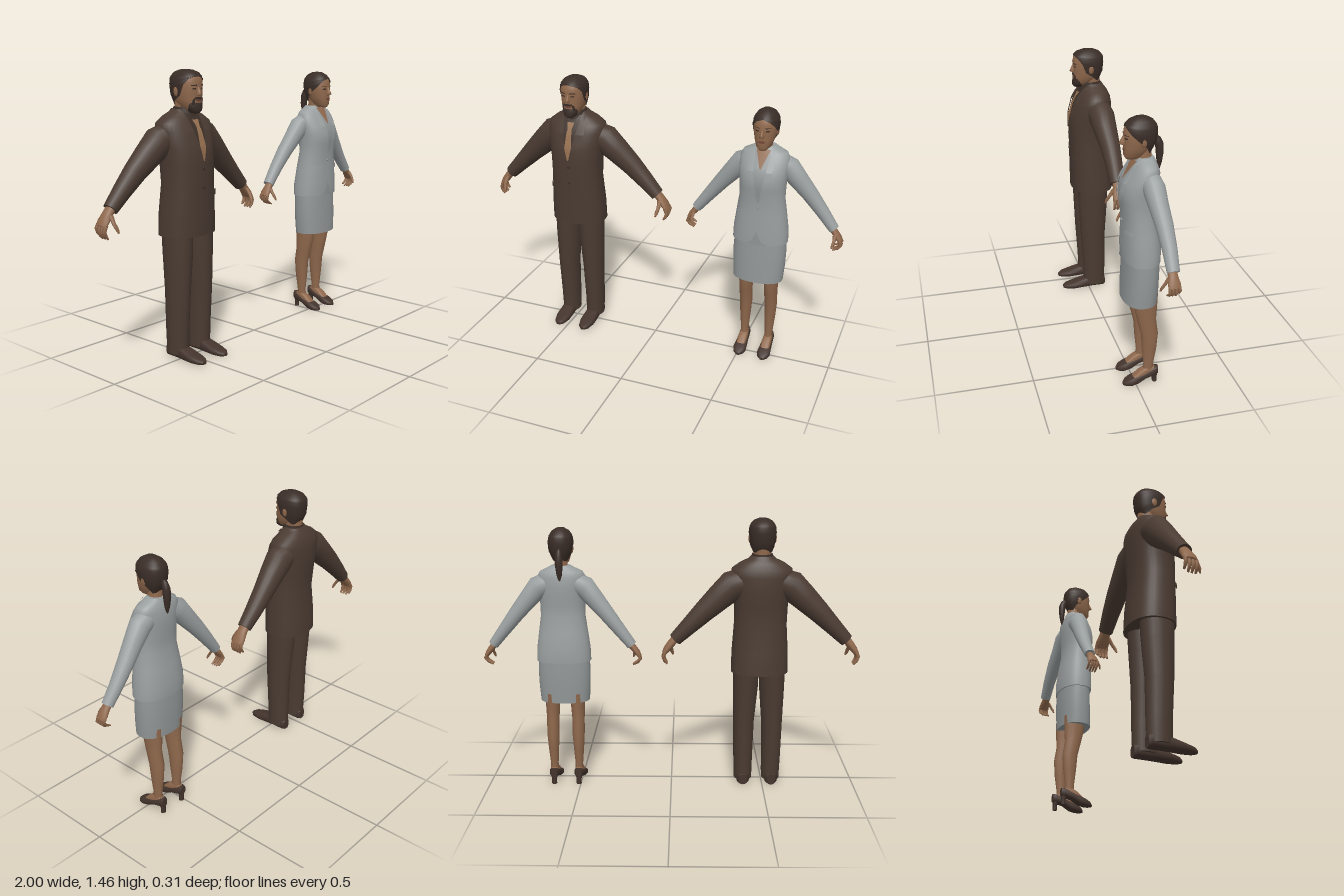
import * as THREE from 'three';

const mat = (name, color, side = THREE.FrontSide) => {
  const m = new THREE.MeshStandardMaterial({ color, side });
  m.name = name;
  return m;
};
const V = (x, y, z) => new THREE.Vector3(x, y, z);
const spow = (v, e) => Math.sign(v) * Math.abs(v) ** e;

// Surface through a list of rings, optionally closed around and capped at both ends
function skinRings(rings, closed = true) {
  const n = rings[0].length, pos = [], idx = [];
  const push = p => (pos.push(p.x, p.y, p.z), pos.length / 3 - 1);
  rings.forEach(r => r.forEach(push));
  for (let j = 0; j < rings.length - 1; j++) {
    for (let i = 0; i < (closed ? n : n - 1); i++) {
      const k = (i + 1) % n, a = j * n + i, b = j * n + k;
      idx.push(a, b, b + n, a, b + n, a + n);
    }
  }
  if (closed) {
    [rings[0], rings[rings.length - 1]].forEach((r, e) => {
      const c = push(r.reduce((s, p) => s.add(p), V(0, 0, 0)).divideScalar(n));
      const ids = r.map(push);
      ids.forEach((a, i) => {
        const b = ids[(i + 1) % n];
        if (e) idx.push(c, a, b); else idx.push(c, b, a);
      });
    });
  }
  // Turn the faces outward when the rings run the other way
  const at = i => V(pos[3 * i], pos[3 * i + 1], pos[3 * i + 2]);
  const mid = rings.flat().reduce((s, p) => s.add(p), V(0, 0, 0)).divideScalar(rings.length * n);
  let vol = 0;
  for (let t = 0; t < idx.length; t += 3) {
    const [a, b, c] = [0, 1, 2].map(k => at(idx[t + k]).sub(mid));
    vol += a.dot(b.cross(c));
  }
  if (vol < 0) idx.reverse();
  const g = new THREE.BufferGeometry();
  g.setAttribute('position', new THREE.Float32BufferAttribute(pos, 3));
  g.setIndex(idx);
  g.computeVertexNormals();
  return g;
}

// Horizontal slices [y, halfWidth, zFront, zBack, (front opening angle)]
const sliceRing = ([y, a, zf, zb, open = 0], p, n, closed) => Array.from({ length: n }, (_, i) => {
  const t = closed ? i / n * Math.PI * 2 : open + i / (n - 1) * (Math.PI - open) * 2;
  return V(a * spow(Math.sin(t), 2 / p), y, (zf + zb) / 2 + (zf - zb) / 2 * spow(Math.cos(t), 2 / p));
});
const stack = (slices, p = 2.3, closed = true) =>
  skinRings(slices.map(s => sliceRing(s, p, closed ? 36 : 33, closed)), closed);

// Limb along [x, y, z, in-plane radius, z radius]
function limb(path, n = 16) {
  return skinRings(path.map(([x, y, z, a, b], i) => {
    const q = path[Math.max(i - 1, 0)], r = path[Math.min(i + 1, path.length - 1)];
    const d = new THREE.Vector2(r[0] - q[0], r[1] - q[1]).normalize();
    return Array.from({ length: n }, (_, k) => {
      const t = k / n * Math.PI * 2, c = a * Math.cos(t);
      return V(x - d.y * c, y + d.x * c, z + b * Math.sin(t));
    });
  }));
}

// Shoe from sections [z, halfWidth, yLow, yHigh]
const shoeGeo = (x, secs) => skinRings(secs.map(([z, w, lo, hi]) => Array.from({ length: 16 }, (_, k) => {
  const t = k / 16 * Math.PI * 2;
  return V(x + w * spow(Math.cos(t), 0.7), (lo + hi) / 2 + (hi - lo) / 2 * spow(Math.sin(t), 0.7), z);
})));

// Thin patch on the front of a slice stack, from rows [y, xLeft, xRight], y rising
function patch(slices, rows, lift = 0.004, p = 2.3) {
  const front = (x, y) => {
    let i = 0;
    while (i < slices.length - 2 && slices[i + 1][0] < y) i++;
    const [s, e] = [slices[i], slices[i + 1]], t = (y - s[0]) / (e[0] - s[0]);
    const [, a, zf, zb] = s.map((v, k) => v + (e[k] - v) * t);
    return (zf + zb) / 2 + (zf - zb) / 2 * Math.max(0, 1 - Math.abs(x / a) ** p) ** (1 / p);
  };
  const steps = 6, U = 8, rings = [];
  for (let r = 0; r < (rows.length - 1) * steps + 1; r++) {
    const i = Math.min(Math.floor(r / steps), rows.length - 2), t = r / steps - i;
    const [y, x0, x1] = rows[i].map((v, k) => v + (rows[i + 1][k] - v) * t);
    rings.push(Array.from({ length: U + 1 }, (_, k) => {
      const x = x0 + (x1 - x0) * k / U;
      return V(x, y, front(x, y) + lift);
    }));
  }
  const g = new THREE.PlaneGeometry(1, 1, U, rings.length - 1);
  rings.reverse().flat().forEach((v, i) => g.attributes.position.setXYZ(i, v.x, v.y, v.z));
  g.computeVertexNormals();
  return g;
}
const mirrorRows = (rows, s) => s > 0 ? rows : rows.map(([y, a, b]) => [y, -b, -a]);

export function createModel() {
  const suit = mat('brown suit', 0x4a3b32), shirt = mat('dark shirt', 0x3d3029);
  const skin = mat('skin', 0x8f684c), tie = mat('tan tie', 0x96704f);
  const hair = mat('dark hair', 0x3a2d27, THREE.DoubleSide), leather = mat('shoe leather', 0x44342d);
  const grey = mat('grey jacket', 0x9a9f9f), skirtMat = mat('grey skirt', 0x929797), lips = mat('lips', 0x75493a);
  const root = new THREE.Group();
  const figure = (name, x) => {
    const g = new THREE.Group();
    g.name = name;
    g.position.x = x;
    root.add(g);
    return (part, geo, m) => {
      const mesh = new THREE.Mesh(geo, m);
      mesh.name = part;
      g.add(mesh);
      return mesh;
    };
  };
  const ball = (add, name, m, p, s) => {
    const b = add(name, new THREE.SphereGeometry(1, 14, 10), m);
    b.position.set(...p);
    b.scale.set(...s);
  };
  // Palm, four curled fingers and a forward thumb, starting at the wrist
  const hand = (add, s, [wx, wy, wz], k, curl) => {
    const at = (dx, dy, dz, a, b) => [s * (wx + dx * k), wy + dy * k, wz + dz * k, a * k, b * k];
    add('hand', limb([at(-0.02, 0.025, 0, 0.024, 0.028), at(0.015, -0.015, 0, 0.022, 0.032),
      at(0.038, -0.045, 0, 0.02, 0.04), at(0.055, -0.07, 0, 0.013, 0.038)]), skin);
    for (let f = 0; f < 4; f++) {
      const z = -0.03 + f * 0.02, d = f === 0 ? 0.012 : 0;
      add('finger', limb([at(0.047, -0.06, z, 0.011, 0.01), at(0.06, -0.092 + d, z, 0.01, 0.01),
        at(0.06 - curl * 0.4, -0.115 + d, z, 0.009, 0.009), at(0.058 - curl, -0.132 + d, z, 0.005, 0.006)], 8), skin);
    }
    add('thumb', limb([at(0.015, -0.015, 0.025, 0.014, 0.014), at(0.018, -0.05, 0.05, 0.011, 0.011),
      at(0.012, -0.08, 0.068, 0.01, 0.009), at(0.006, -0.1, 0.074, 0.005, 0.005)], 8), skin);
  };
  // Eyes, brows, mouth, nose and ears on a head
  const face = (add, head, y, k, earZ) => {
    for (const s of [1, -1]) {
      add('eye', patch(head, mirrorRows([[y - 0.004, 0.02, 0.032], [y, 0.014, 0.037], [y + 0.004, 0.02, 0.032]], s), 0.002), shirt);
      add('brow', patch(head, mirrorRows([[y + 0.014, 0.012, 0.042], [y + 0.019 * k, 0.013, 0.04]], s), 0.003), hair);
      ball(add, 'ear', skin, [s * 0.064 * k, y - 0.012, earZ], [0.008, 0.026, 0.016]);
    }
    add('nose', stack([[y - 0.036, 0.009, 0.062, 0.04], [y - 0.029, 0.014, 0.08, 0.04],
      [y - 0.015, 0.009, 0.073, 0.04], [y + 0.008, 0.006, 0.061, 0.04]], 2), skin);
    add('mouth', patch(head, [[y - 0.062, -0.01, 0.01], [y - 0.056, -0.021, 0.021], [y - 0.05, -0.01, 0.01]], 0.003), lips);
  };

  // ---- Man ----
  const man = figure('man', -0.472);
  const coat = [[0.64, 0.152, 0.08, -0.157], [0.75, 0.15, 0.082, -0.152], [0.9, 0.14, 0.084, -0.136],
    [1, 0.142, 0.085, -0.144], [1.08, 0.15, 0.08, -0.15], [1.16, 0.162, 0.056, -0.15], [1.2, 0.158, 0.034, -0.142],
    [1.23, 0.118, 0.014, -0.127], [1.25, 0.075, 0.004, -0.112], [1.265, 0.06, -0.002, -0.102]];
  man('jacketBody', stack(coat), suit);
  man('shirtFront', patch(coat, [[1.01, -0.002, 0.002], [1.12, -0.028, 0.028], [1.25, -0.05, 0.05]]), shirt);
  man('tie', patch(coat, [[1.015, -0.003, 0.003], [1.07, -0.021, 0.021], [1.17, -0.014, 0.014], [1.18, -0.011, 0.011],
    [1.215, -0.02, 0.02]], 0.008), tie);
  man('shirtCollar', stack([[1.22, 0.062, 0.022, -0.1], [1.275, 0.054, 0.012, -0.096]], 2), shirt);
  man('neck', stack([[1.2, 0.046, 0.005, -0.09], [1.32, 0.046, 0.01, -0.095]], 2), skin);
  for (const s of [1, -1]) {
    man('lapel', patch(coat, mirrorRows([[1.01, 0.002, 0.006], [1.13, 0.03, 0.083], [1.145, 0.033, 0.07],
      [1.16, 0.037, 0.085], [1.25, 0.05, 0.07]], s), 0.009), suit);
    man('pocketFlap', patch(coat, mirrorRows([[0.835, 0.065, 0.125], [0.865, 0.065, 0.13]], s), 0.009), suit);
    man('sleeve', limb([[s * 0.09, 1.135, -0.06, 0.07, 0.07], [s * 0.155, 1.11, -0.066, 0.08, 0.072],
      [s * 0.22, 1.05, -0.072, 0.07, 0.064], [s * 0.3, 0.975, -0.08, 0.058, 0.054],
      [s * 0.38, 0.895, -0.082, 0.046, 0.046], [s * 0.452, 0.822, -0.08, 0.036, 0.038]], 20), suit);
    hand(man, s, [0.458, 0.815, -0.08], 0.95, 0.02);
    man('trouserLeg', limb([[s * 0.07, 0.7, -0.035, 0.07, 0.09], [s * 0.071, 0.55, -0.032, 0.068, 0.085],
      [s * 0.077, 0.35, -0.03, 0.057, 0.073], [s * 0.077, 0.15, -0.036, 0.052, 0.066],
      [s * 0.076, 0.025, -0.036, 0.049, 0.063]], 20), suit);
    man('shoe', shoeGeo(s * 0.077, [[-0.1, 0.022, 0, 0.06], [-0.085, 0.035, 0, 0.07], [-0.02, 0.036, 0, 0.075],
      [0.03, 0.04, 0, 0.058], [0.09, 0.042, 0, 0.04], [0.135, 0.03, 0, 0.03], [0.155, 0.012, 0.004, 0.02]]), leather);
  }
  for (const y of [0.975, 0.885]) {
    const b = man('button', new THREE.CylinderGeometry(0.008, 0.008, 0.008, 12), shirt);
    b.position.set(0, y, 0.087);
    b.rotation.x = Math.PI / 2;
  }
  const manHead = [[1.255, 0.024, 0.045, -0.02], [1.275, 0.045, 0.056, -0.05], [1.31, 0.058, 0.058, -0.088],
    [1.35, 0.064, 0.058, -0.104], [1.39, 0.066, 0.06, -0.107], [1.42, 0.06, 0.053, -0.1], [1.44, 0.044, 0.032, -0.08], [1.449, 0.02, 0, -0.05]];
  man('head', stack(manHead), skin);
  face(man, manHead, 1.365, 1.02, -0.03);
  man('hairCap', stack([[1.285, 0.06, 0.05, -0.085, 2.3], [1.31, 0.063, 0.06, -0.097, 1.8], [1.335, 0.068, 0.06, -0.108, 1.35],
    [1.385, 0.072, 0.063, -0.113, 1.1], [1.412, 0.069, 0.061, -0.112, 0.75], [1.424, 0.064, 0.057, -0.106],
    [1.442, 0.05, 0.04, -0.09], [1.454, 0.027, 0.008, -0.06], [1.456, 0.001, -0.025, -0.027]], 2.3, false), hair);
  man('goatee', stack([[1.246, 0.018, 0.055, 0.01], [1.258, 0.035, 0.064, 0], [1.28, 0.043, 0.063, 0.005],
    [1.296, 0.04, 0.058, 0.01]], 2), hair);
  man('moustache', patch(manHead, [[1.313, -0.034, 0.034], [1.325, -0.022, 0.022]], 0.005), hair);
  for (const s of [1, -1]) {
    man('moustacheSide', patch(manHead, mirrorRows([[1.285, 0.026, 0.038], [1.316, 0.024, 0.034]], s), 0.005), hair);
  }

  // ---- Woman ----
  const woman = figure('woman', 0.578);
  const blazer = [[0.695, 0.145, 0.06, -0.122], [0.76, 0.143, 0.062, -0.124], [0.85, 0.131, 0.06, -0.113],
    [0.94, 0.118, 0.06, -0.1], [1, 0.119, 0.07, -0.103], [1.05, 0.122, 0.073, -0.108], [1.1, 0.127, 0.06, -0.11],
    [1.15, 0.128, 0.03, -0.109], [1.18, 0.112, 0.012, -0.1], [1.2, 0.07, 0, -0.092], [1.212, 0.05, -0.008, -0.086]];
  woman('jacketBody', stack(blazer), grey);
  woman('frontCutaway', patch(blazer, [[0.695, -0.055, 0.055], [0.715, -0.025, 0.025], [0.77, -0.002, 0.002]], 0.003), skirtMat);
  woman('blouse', patch(blazer, [[0.93, -0.002, 0.002], [1.1, -0.035, 0.035], [1.2, -0.045, 0.045]]), skirtMat);
  woman('neckline', patch(blazer, [[1.11, -0.002, 0.002], [1.2, -0.036, 0.036]], 0.007), skin);
  woman('neck', stack([[1.16, 0.05, 0.012, -0.085], [1.2, 0.034, 0.002, -0.078], [1.25, 0.034, 0.012, -0.078]], 2), skin);
  woman('skirt', stack([[0.47, 0.132, 0.06, -0.112], [0.55, 0.138, 0.058, -0.116], [0.64, 0.14, 0.054, -0.118],
    [0.72, 0.136, 0.05, -0.115]]), skirtMat);
  for (const s of [1, -1]) {
    woman('lapel', patch(blazer, mirrorRows([[0.93, 0.002, 0.006], [1.09, 0.03, 0.068], [1.1, 0.032, 0.058],
      [1.115, 0.034, 0.068], [1.205, 0.042, 0.055]], s), 0.009), grey);
    woman('pocketFlap', patch(blazer, mirrorRows([[0.85, 0.055, 0.107], [0.875, 0.055, 0.112]], s), 0.009), grey);
    woman('sleeve', limb([[s * 0.075, 1.12, -0.05, 0.055, 0.05], [s * 0.122, 1.098, -0.055, 0.059, 0.053],
      [s * 0.175, 1.035, -0.062, 0.05, 0.047], [s * 0.235, 0.962, -0.072, 0.042, 0.042],
      [s * 0.305, 0.872, -0.078, 0.034, 0.035], [s * 0.368, 0.79, -0.077, 0.027, 0.03]], 20), grey);
    hand(woman, s, [0.368, 0.782, -0.073], 0.76, 0.05);
    woman('leg', limb([[s * 0.068, 0.52, -0.045, 0.04, 0.062], [s * 0.068, 0.44, -0.046, 0.038, 0.058],
      [s * 0.069, 0.37, -0.052, 0.034, 0.048], [s * 0.069, 0.29, -0.068, 0.034, 0.044],
      [s * 0.069, 0.2, -0.068, 0.028, 0.037], [s * 0.068, 0.11, -0.066, 0.021, 0.025],
      [s * 0.068, 0.06, -0.064, 0.022, 0.03]]), skin);
    woman('foot', shoeGeo(s * 0.068, [[-0.1, 0.018, 0.05, 0.09], [-0.06, 0.024, 0.04, 0.1], [-0.02, 0.026, 0.02, 0.078],
      [0.02, 0.026, 0.008, 0.042]]), skin);
    woman('shoe', shoeGeo(s * 0.068, [[-0.115, 0.016, 0.045, 0.092], [-0.095, 0.026, 0.04, 0.09], [-0.05, 0.029, 0.03, 0.07],
      [-0.01, 0.032, 0.006, 0.058], [0.025, 0.036, 0, 0.042], [0.05, 0.028, 0, 0.03], [0.066, 0.01, 0.002, 0.016]]), leather);
    woman('heel', limb([[s * 0.068, 0, -0.1, 0.014, 0.012], [s * 0.068, 0.03, -0.1, 0.014, 0.013],
      [s * 0.068, 0.06, -0.095, 0.022, 0.02]], 12), leather);
  }
  const button = woman('button', new THREE.CylinderGeometry(0.007, 0.007, 0.008, 12), skirtMat);
  button.position.set(0, 0.9, 0.064);
  button.rotation.x = Math.PI / 2;
  const womanHead = [[1.205, 0.018, 0.045, -0.01], [1.222, 0.036, 0.055, -0.04], [1.26, 0.05, 0.056, -0.068],
    [1.3, 0.057, 0.055, -0.085], [1.34, 0.058, 0.055, -0.09], [1.37, 0.05, 0.042, -0.083], [1.392, 0.03, 0.015, -0.06]];
  woman('head', stack(womanHead), skin);
  face(woman, womanHead, 1.31, 0.9, -0.025);
  woman('hairCap', stack([[1.235, 0.045, 0.03, -0.072, 2.3], [1.265, 0.056, 0.056, -0.088, 1.9], [1.295, 0.064, 0.058, -0.1, 1.45],
    [1.33, 0.067, 0.06, -0.104, 0.95], [1.355, 0.063, 0.056, -0.102, 0.5], [1.367, 0.059, 0.051, -0.098],
    [1.388, 0.045, 0.033, -0.082], [1.403, 0.022, 0.005, -0.053], [1.406, 0.001, -0.022, -0.024]], 2.3, false), hair);
  woman('ponytail', stack([[1.14, 0.004, -0.112, -0.12], [1.17, 0.014, -0.105, -0.128], [1.22, 0.02, -0.1, -0.136],
    [1.265, 0.019, -0.095, -0.135], [1.295, 0.014, -0.085, -0.122], [1.305, 0.006, -0.085, -0.11]], 2), hair);
  return root;
}
